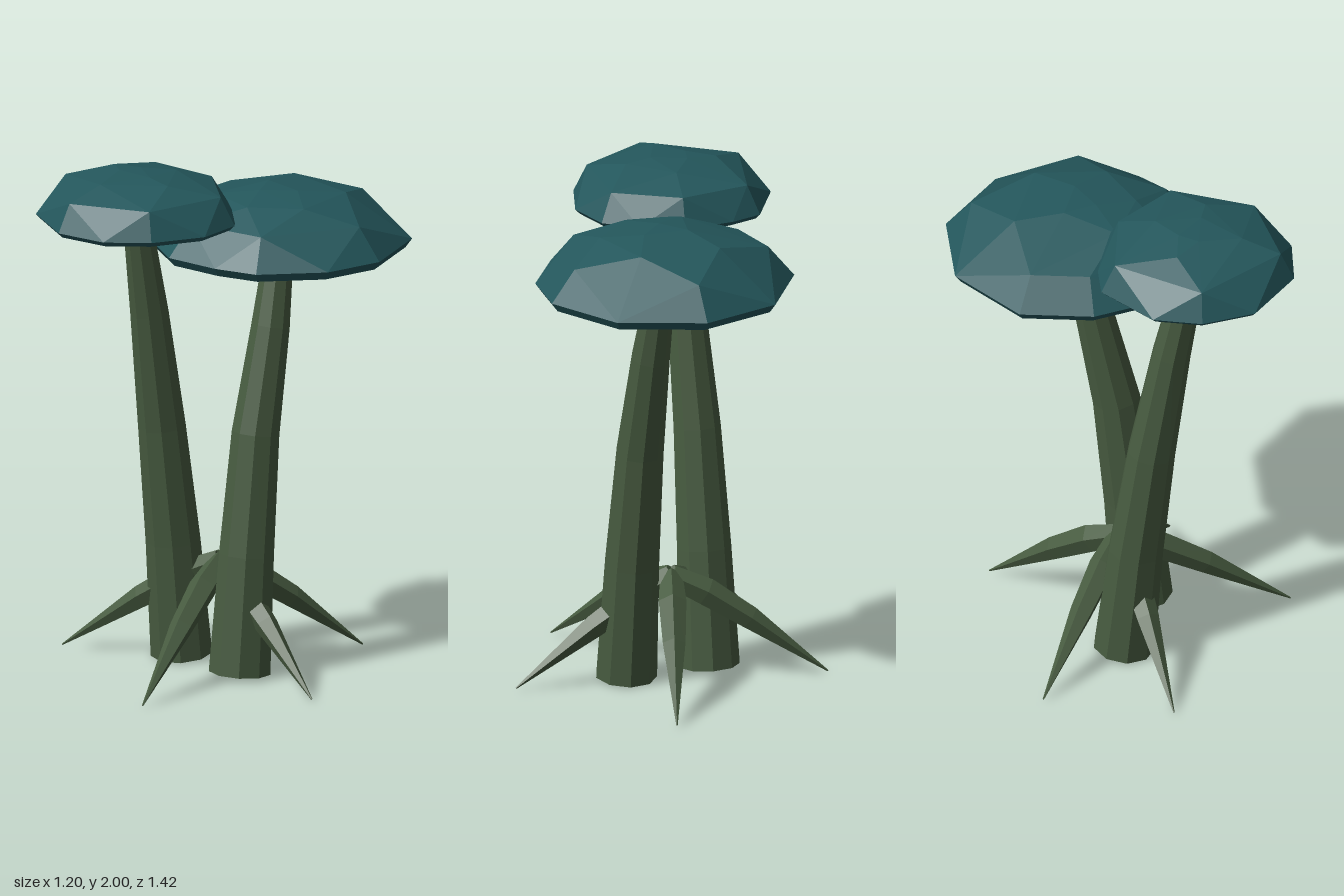
import * as THREE from 'three';
import { ConvexGeometry } from 'three/addons/geometries/ConvexGeometry.js';

const V = (x, y, z) => new THREE.Vector3(x, y, z);

// Faceted tube through points, with its own radius at each point and closed ends
function loft(points, radii, sides, ref) {
  const last = points.length - 1;
  const rings = points.map((p, i) => {
    const t = points[Math.min(i + 1, last)].clone().sub(points[Math.max(i - 1, 0)]).normalize();
    const u = ref.clone().addScaledVector(t, -ref.dot(t)).normalize();
    const v = t.clone().cross(u);
    return Array.from({ length: sides }, (_, j) => {
      const a = (j / sides) * Math.PI * 2;
      return p.clone().addScaledVector(u, Math.cos(a) * radii[i]).addScaledVector(v, Math.sin(a) * radii[i]);
    });
  });
  const tris = [];
  for (let j = 0; j < sides; j++) {
    const k = (j + 1) % sides;
    for (let i = 0; i < last; i++) {
      const a = rings[i][j], b = rings[i][k], c = rings[i + 1][k], d = rings[i + 1][j];
      tris.push(a, b, d, b, c, d);
    }
    tris.push(points[0], rings[0][k], rings[0][j], points[last], rings[last][j], rings[last][k]);
  }
  const g = new THREE.BufferGeometry().setFromPoints(tris);
  g.computeVertexNormals();
  return g;
}

// Faceted cap: an irregular outline [x, z] repeated in shrinking layers [height, scale, step]
function capGeometry(outline, cx, cz, layers) {
  const pts = [];
  for (const [y, s, step, start] of layers)
    for (let i = start; i < outline.length; i += step) {
      const [x, z] = outline[i];
      pts.push(V(cx + (x - cx) * s, y, cz + (z - cz) * s));
    }
  return new ConvexGeometry(pts);
}

export function createModel() {
  const model = new THREE.Group();
  const bark = new THREE.MeshStandardMaterial({ color: 0x475b40 });
  bark.name = 'mossy bark';
  const teal = new THREE.MeshStandardMaterial({ color: 0x24575c });
  teal.name = 'dark teal cap';
  const glow = new THREE.MeshStandardMaterial({ color: 0x8fe0d2 });
  glow.name = 'pale gills';

  const add = (name, geometry, material, parent = model) => {
    const mesh = new THREE.Mesh(geometry, material);
    mesh.name = name;
    parent.add(mesh);
  };

  const mushrooms = [
    {
      name: 'tallMushroom',
      stem: [V(-0.19, 0.015, 0.055), V(-0.185, 0.48, 0.1), V(-0.178, 0.95, 0.16), V(-0.16, 1.42, 0.235), V(-0.14, 1.84, 0.315)],
      outline: [[-0.51, 0.25], [-0.385, 0.015], [-0.26, -0.03], [-0.06, -0.05], [0.1, 0.02], [0.22, 0.12],
        [0.265, 0.3], [0.2, 0.51], [0.08, 0.65], [-0.12, 0.71], [-0.375, 0.62], [-0.49, 0.44]],
      centre: [-0.125, 0.33],
      layers: [[1.812, 0.95, 1, 0], [1.832, 1, 1, 0], [1.94, 0.86, 2, 1], [1.988, 0.46, 3, 0], [2, 0.2, 5, 1]],
      under: 1.812, reach: 0.3,
    },
    {
      name: 'wideMushroom',
      stem: [V(0.15, 0.015, 0.04), V(0.142, 0.48, 0), V(0.128, 0.95, -0.055), V(0.113, 1.36, -0.14), V(0.09, 1.69, -0.205)],
      outline: [[-0.415, -0.3], [-0.235, -0.6], [0.08, -0.715], [0.405, -0.6], [0.57, -0.31], [0.555, -0.07],
        [0.41, 0.165], [0.25, 0.24], [0.03, 0.29], [-0.2, 0.2], [-0.36, -0.02]],
      centre: [0.08, -0.21],
      layers: [[1.655, 0.95, 1, 0], [1.69, 1, 1, 0], [1.81, 0.8, 2, 0], [1.873, 0.5, 2, 1], [1.895, 0.18, 4, 0]],
      under: 1.655, reach: 0.39,
    },
  ];

  for (const m of mushrooms) {
    const group = new THREE.Group();
    group.name = m.name;
    model.add(group);
    add('stem', loft(m.stem, [0.12, 0.107, 0.093, 0.075, 0.055], 9, V(1, 0, 0)), bark, group);
    add('cap', capGeometry(m.outline, ...m.centre, m.layers), teal, group);

    // Slender gills fanning out from the top of the stem
    const top = m.stem[4], count = 20;
    for (let i = 0; i < count; i++) {
      const a = (i / count) * Math.PI * 2;
      const at = (r, dy) => V(top.x + Math.cos(a) * r, m.under + dy, top.z + Math.sin(a) * r);
      const path = [at(0.04, -0.012), at(m.reach * 0.6, -0.003), at(m.reach, 0)];
      add('gill', loft(path, [0.004, 0.013, 0.001], 4, V(0, 1, 0)), glow, group);
    }
  }

  // Arched roots meeting between the stems, tapering to points on the ground
  const roots = new THREE.Group();
  roots.name = 'roots';
  model.add(roots);
  for (const [x, z] of [[0.595, 0.04], [0.26, 0.6], [-0.56, 0.345], [-0.6, -0.16], [0.15, -0.56]]) {
    const at = (f, y) => V(-0.02 + (x + 0.02) * f, y, z * f);
    const path = [at(0, 0.41), at(0.22, 0.345), at(0.5, 0.235), at(1, 0.012)];
    add('root', loft(path, [0.045, 0.056, 0.046, 0.003], 5, V(0, 1, 0)), bark, roots);
  }
  return model;
}
